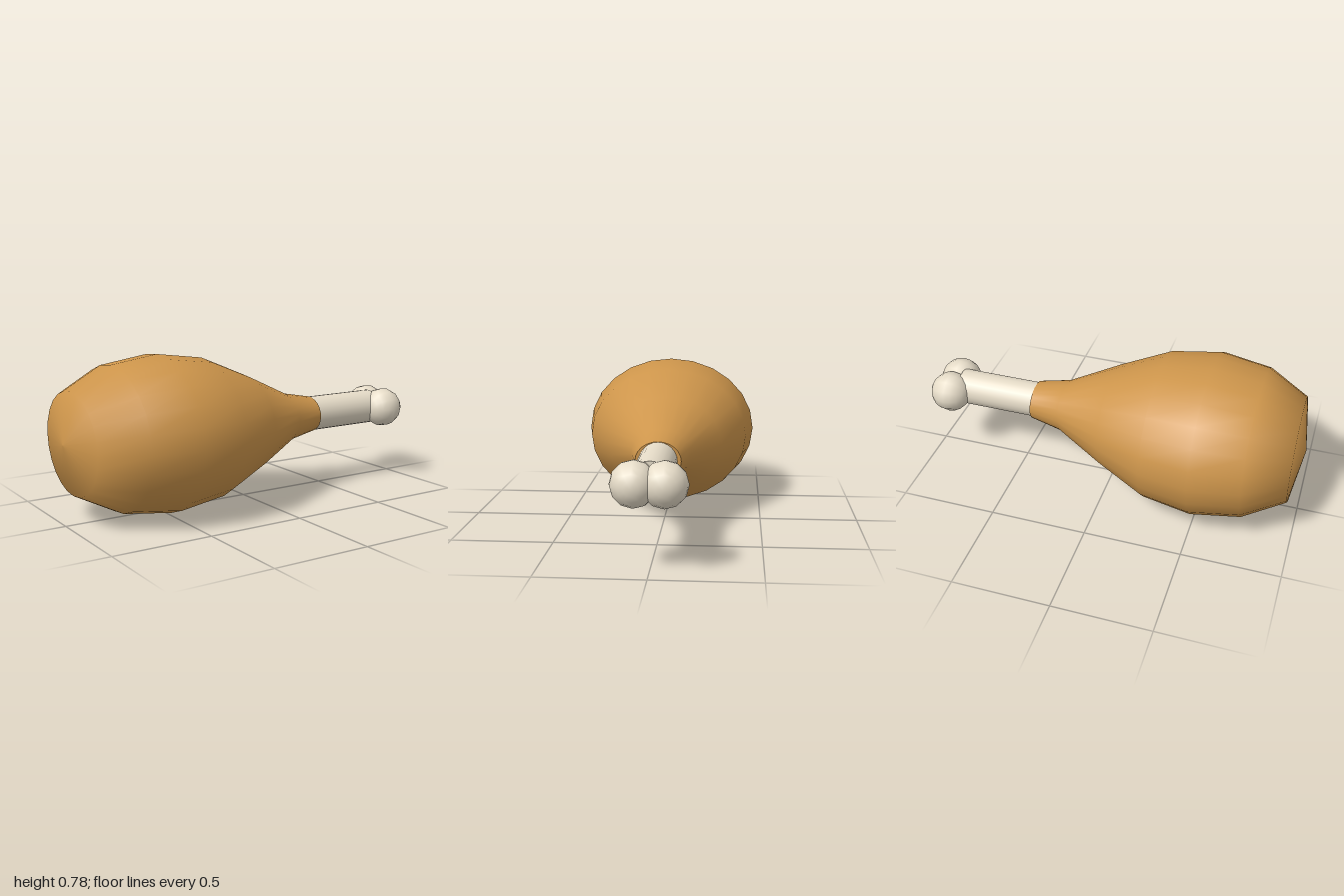
import * as THREE from 'three';

const AXIS_Y = 0.394; // height of the long axis

export function createModel() {
  const model = new THREE.Group();
  model.name = 'drumstick';

  const meatMaterial = new THREE.MeshStandardMaterial({ color: 0xcd954b });
  meatMaterial.name = 'roasted brown';
  const boneMaterial = new THREE.MeshStandardMaterial({ color: 0xe6dcc8 });
  boneMaterial.name = 'bone cream';

  const add = (name, geometry, material, x, z = 0) => {
    const mesh = new THREE.Mesh(geometry, material);
    mesh.name = name;
    mesh.position.set(x, AXIS_Y, z);
    model.add(mesh);
  };

  // Meat: turned profile [radius, x], laid along x and widened in z
  const profile = [
    [0, -1], [0.249, -0.957], [0.356, -0.75], [0.391, -0.5], [0.356, -0.25],
    [0.25, 0], [0.126, 0.26], [0.094, 0.425],
  ].map(([r, x]) => new THREE.Vector2(r, x));
  const meat = new THREE.LatheGeometry(profile, 24).rotateZ(-Math.PI / 2).scale(1, 1, 1.18);
  add('meat', meat, meatMaterial, 0);

  // Flat end of the meat around the bone
  const neck = new THREE.CircleGeometry(0.094, 24).rotateY(Math.PI / 2).scale(1, 1, 1.18);
  add('meatEnd', neck, meatMaterial, 0.425);

  // Bone shaft, starting inside the meat
  const shaft = new THREE.CylinderGeometry(0.092, 0.092, 0.465, 24).rotateZ(-Math.PI / 2);
  add('boneShaft', shaft, boneMaterial, 0.6125);

  // Two knuckles at the bone's end
  for (const side of [1, -1]) {
    const knuckle = new THREE.SphereGeometry(0.106, 12, 10).rotateZ(-Math.PI / 2);
    add(side > 0 ? 'frontKnuckle' : 'backKnuckle', knuckle, boneMaterial, 0.89, side * 0.068);
  }

  return model;
}
